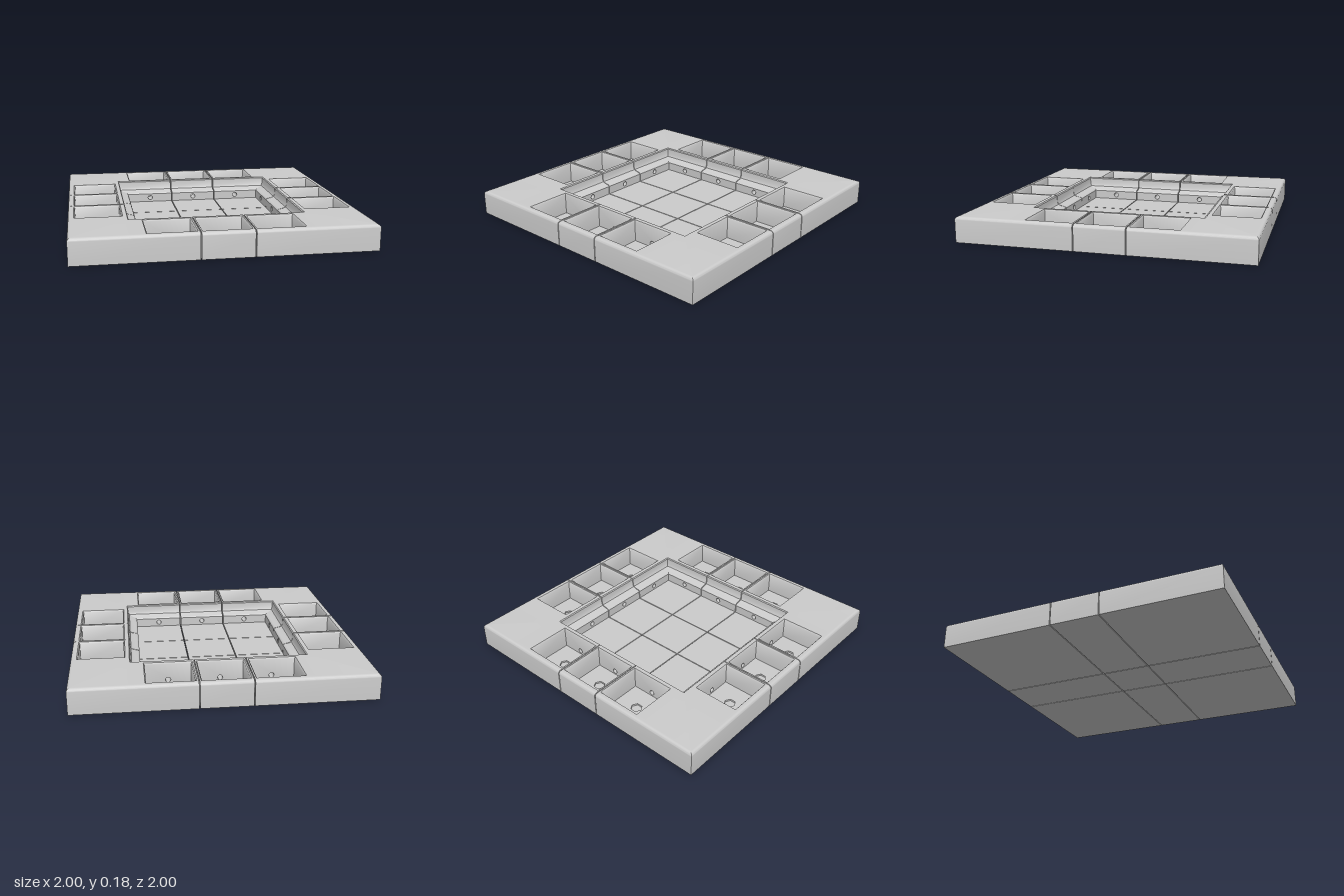
import * as THREE from 'three';
import { mergeGeometries, toCreasedNormals } from 'three/addons/utils/BufferGeometryUtils.js';

const TOP = 0.177, FLOOR = 0.02, POCKET_FLOOR = 0.025;
const SEAM = 0.1755, GAP = 0.003;            // module joint and half its gap
const IN = SEAM + GAP, MID = SEAM - GAP;
const PITCH = 0.352, POCKET_R = 0.797;       // pocket spacing and distance from centre
const LIP = 0.163, WELL = 0.155;             // pocket half sizes: at the lip and below
const WALL = 0.53, BORE_Y = 0.052, BORE = 0.018;

const material = new THREE.MeshStandardMaterial({ color: 0xcccccc });
const capMaterial = new THREE.MeshStandardMaterial({ color: 0xcccccc, side: THREE.DoubleSide });

// Cross-section of the tray as [distance from centre, height]
const underside = [[IN, 0], [1, 0]];
const outerEdge = [];
for (let i = 0; i <= 5; i++) {
  const a = (i / 5) * Math.PI / 2;
  outerEdge.push([0.978 + 0.022 * Math.cos(a), TOP - 0.022 + 0.022 * Math.sin(a)]);
}
const cove = [[0.606, TOP], [0.6, 0.17], [0.598, 0.125], [0.59, 0.108], [0.575, 0.1],
  [0.545, 0.094], [0.535, 0.09], [WALL, 0.083]];
const pitFloor = [[WALL, FLOOR], [IN, FLOOR], [IN, 0]];

const polygon = (pts) => new THREE.Shape(pts.map(([x, y]) => new THREE.Vector2(x, y)));

function ring(x, y, radius, sides, phase = 0) {
  const pts = [];
  for (let i = 0; i < sides; i++) {
    const a = phase + (i / sides) * Math.PI * 2;
    pts.push([x + radius * Math.cos(a), y + radius * Math.sin(a)]);
  }
  return polygon(pts);
}

const square = (x, y, h) => polygon([[x - h, y - h], [x + h, y - h], [x + h, y + h], [x - h, y + h]]);

function flat(outline, ...holes) {
  outline.holes.push(...holes);
  return new THREE.ShapeGeometry(outline);
}

function fromQuads(quads) {
  const pos = [];
  for (const [a, b, c, d] of quads) pos.push(...a, ...b, ...c, ...a, ...c, ...d);
  const g = new THREE.BufferGeometry();
  g.setAttribute('position', new THREE.Float32BufferAttribute(pos, 3));
  return g;
}

function makeMesh(name, parts, mat = material) {
  const plain = parts.map((p) => {
    const g = p.index ? p.toNonIndexed() : p;
    g.deleteAttribute('uv');
    g.deleteAttribute('normal');
    return g;
  });
  const mesh = new THREE.Mesh(toCreasedNormals(mergeGeometries(plain), 0.6), mat);
  mesh.name = name;
  return mesh;
}

// Surface swept along x between two end rules
function sweep(profile, e0, e1) {
  const quads = [];
  for (let i = 0; i + 1 < profile.length; i++) {
    const [r, y] = profile[i], [s, t] = profile[i + 1];
    if (e0(r) === e1(r) && e0(s) === e1(s)) continue;
    quads.push([[e0(r), y, r], [e1(r), y, r], [e1(s), t, s], [e0(s), t, s]]);
  }
  return fromQuads(quads);
}

// Square well with a chamfered lip, a bored inner wall and a hexagonal recess in its floor
function pocket(cx, phase) {
  const rings = [[LIP, TOP], [WELL, 0.165], [WELL, POCKET_FLOOR]];
  const corners = [[-1, -1], [1, -1], [1, 1], [-1, 1]];
  const quads = [];
  for (let i = 0; i < 2; i++) {
    for (let k = 0; k < 4; k++) {
      if (i === 1 && k === 0) continue;      // the bored wall goes here
      const at = ([sx, sz], [h, y]) => [cx + sx * h, y, POCKET_R + sz * h];
      const p = corners[k], q = corners[(k + 1) % 4];
      quads.push([at(p, rings[i + 1]), at(q, rings[i + 1]), at(q, rings[i]), at(p, rings[i])]);
    }
  }
  const inner = polygon([[cx - WELL, POCKET_FLOOR], [cx + WELL, POCKET_FLOOR],
    [cx + WELL, 0.165], [cx - WELL, 0.165]]);
  const boredWall = flat(inner, ring(cx, BORE_Y, BORE, 12)).translate(0, 0, POCKET_R - WELL);
  const base = flat(square(cx, -POCKET_R, WELL), ring(cx, -POCKET_R, 0.039, 6, phase))
    .rotateX(-Math.PI / 2).translate(0, POCKET_FLOOR, 0);
  const recess = flat(ring(cx, -POCKET_R, 0.039, 6, phase))
    .rotateX(-Math.PI / 2).translate(0, POCKET_FLOOR - 0.012, 0);
  const recessWall = new THREE.CylinderGeometry(0.039, 0.039, 0.012, 6, 1, true)
    .rotateY(Math.PI / 2 + phase).translate(cx, POCKET_FLOOR - 0.006, POCKET_R);
  return makeMesh('pocket', [fromQuads(quads), boredWall, base, recess, recessWall], capMaterial);
}

// One run of tray: shell, seam faces, pocket and the bore joining pocket to pit
function run(name, e0, e1, cx, phase, caps) {
  const g = new THREE.Group();
  g.name = name;
  const a = outerEdge.at(-1)[0], b = cove[0][0];
  const rim = flat(polygon([[e0(a), -a], [e1(a), -a], [e1(b), -b], [e0(b), -b]]), square(cx, -POCKET_R, LIP))
    .rotateX(-Math.PI / 2).translate(0, TOP, 0);
  const y1 = cove.at(-1)[1], l = -e1(WALL), r = -e0(WALL);
  const pitWall = flat(polygon([[l, FLOOR], [r, FLOOR], [r, y1], [l, y1]]), ring(-cx, BORE_Y, BORE, 12))
    .rotateY(Math.PI).translate(0, 0, WALL);
  g.add(makeMesh('shell', [sweep([...underside, ...outerEdge], e0, e1), rim,
    sweep(cove, e0, e1), pitWall, sweep(pitFloor, e0, e1)]));

  const section = [...underside, ...outerEdge, ...cove, ...pitFloor.slice(0, 2)];
  g.add(makeMesh('seamFace', caps.map((x) => flat(polygon(section))
    .rotateY(-Math.PI / 2).translate(x, 0, 0)), capMaterial));

  const length = POCKET_R - WELL - WALL;
  const bore = new THREE.CylinderGeometry(BORE, BORE, length, 12, 1, true)
    .rotateY(Math.PI / 2).rotateX(Math.PI / 2).translate(cx, BORE_Y, WALL + length / 2);
  g.add(makeMesh('bore', [bore], capMaterial), pocket(cx, phase));
  return g;
}

export function createModel() {
  const model = new THREE.Group();
  model.name = 'modularTray';
  for (let k = 0; k < 4; k++) {
    const turn = (k * Math.PI) / 2;
    const edge = run('edgeModule', () => -MID, () => MID, 0, turn, [-MID, MID]);
    edge.rotation.y = turn;

    // Each corner is two mitred runs meeting on the diagonal
    const corner = new THREE.Group();
    corner.name = 'cornerModule';
    const first = run('cornerHalf', () => IN, (r) => r, PITCH, turn, [IN]);
    const second = run('cornerHalf', (r) => -r, () => -IN, -PITCH, turn + Math.PI / 2, [-IN]);
    second.rotation.y = Math.PI / 2;
    corner.add(first, second);
    corner.rotation.y = turn;
    model.add(edge, corner);
  }
  // Middle floor tile
  const tile = new THREE.Mesh(new THREE.BoxGeometry(2 * MID, FLOOR, 2 * MID), material);
  tile.name = 'centreTile';
  tile.position.y = FLOOR / 2;
  model.add(tile);
  return model;
}
